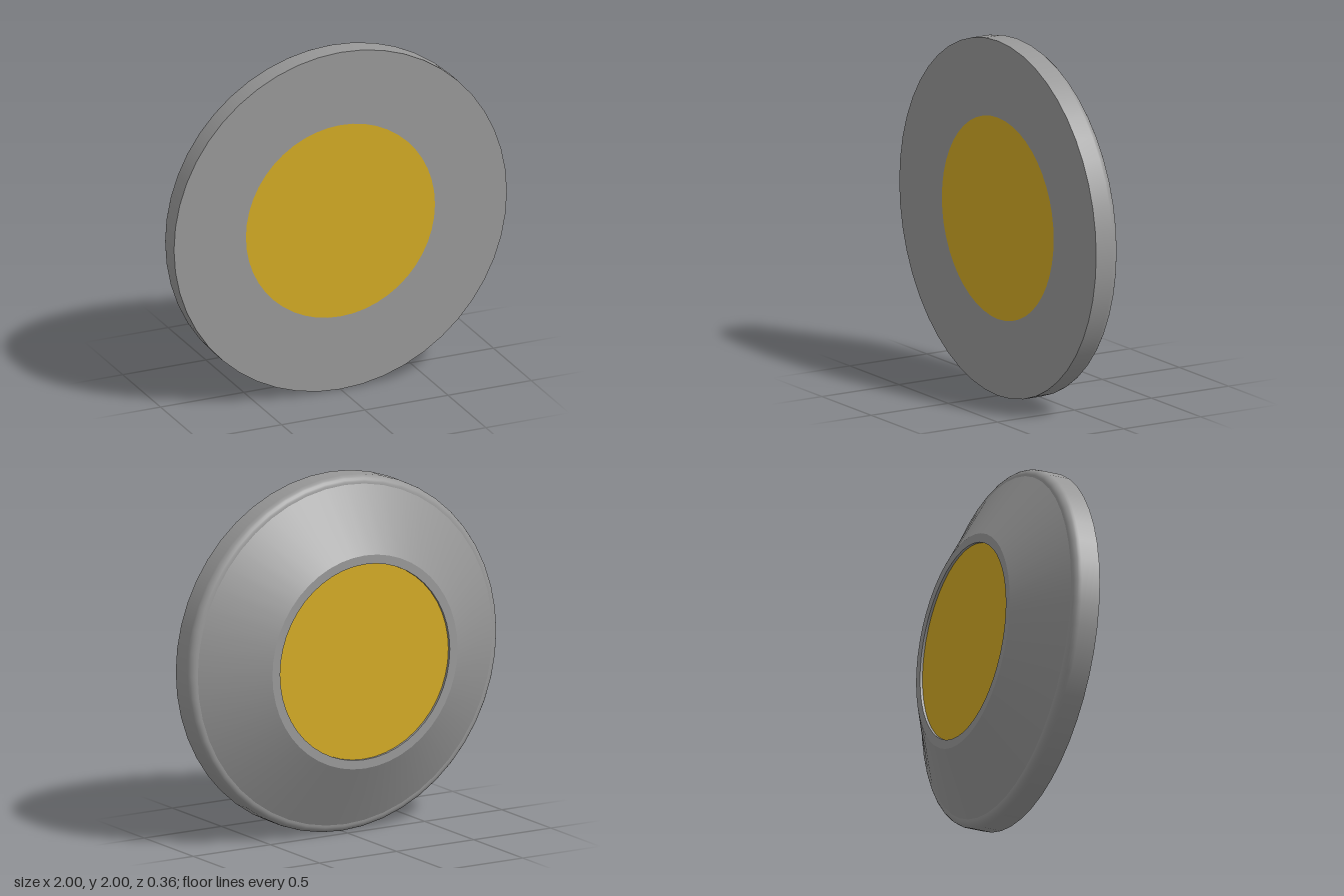
import * as THREE from 'three';

const SEGMENTS = 48;

export function createModel() {
  const model = new THREE.Group();
  model.name = 'roundDisc';

  const grey = new THREE.MeshStandardMaterial({ color: 0x989898 });
  grey.name = 'grey metal';
  const gold = new THREE.MeshStandardMaterial({ color: 0xd2aa24 });
  gold.name = 'gold';

  const add = (name, geometry, material, parent = model) => {
    const mesh = new THREE.Mesh(geometry, material);
    mesh.name = name;
    parent.add(mesh);
    return mesh;
  };

  // Surface of revolution about z, from [radius, z] pairs
  const turned = (profile) => new THREE.LatheGeometry(
    profile.map(([r, z]) => new THREE.Vector2(r, z)), SEGMENTS).rotateX(Math.PI / 2);

  // Grey housing: one turned surface per smooth run, so edges stay crisp
  const housing = new THREE.Group();
  housing.name = 'housing';
  model.add(housing);

  const fillet = [];
  for (let i = 0; i <= 6; i++) {
    const a = (i / 6) * Math.PI / 2;
    fillet.push([0.955 + 0.045 * Math.sin(a), 0.07 - 0.045 * Math.cos(a)]);
  }
  const sections = {
    recessWall: [[0.55, -0.163], [0.55, -0.178]],
    backRing: [[0.55, -0.178], [0.6, -0.178]],
    backCone: [[0.6, -0.178], [0.955, 0.025]],
    rim: [...fillet, [1, 0.178]],
    frontFace: [[1, 0.178], [0.568, 0.178]],
  };
  for (const [name, profile] of Object.entries(sections)) {
    add(name, turned(profile), grey, housing);
  }

  // Gold core: flush at the front, slightly recessed at the back
  add('frontDisc', new THREE.CircleGeometry(0.568, SEGMENTS).rotateZ(Math.PI / 2)
    .translate(0, 0, 0.178), gold);
  add('backDisc', new THREE.CircleGeometry(0.55, SEGMENTS).rotateY(Math.PI)
    .translate(0, 0, -0.163), gold);

  model.position.y = 1;
  return model;
}
